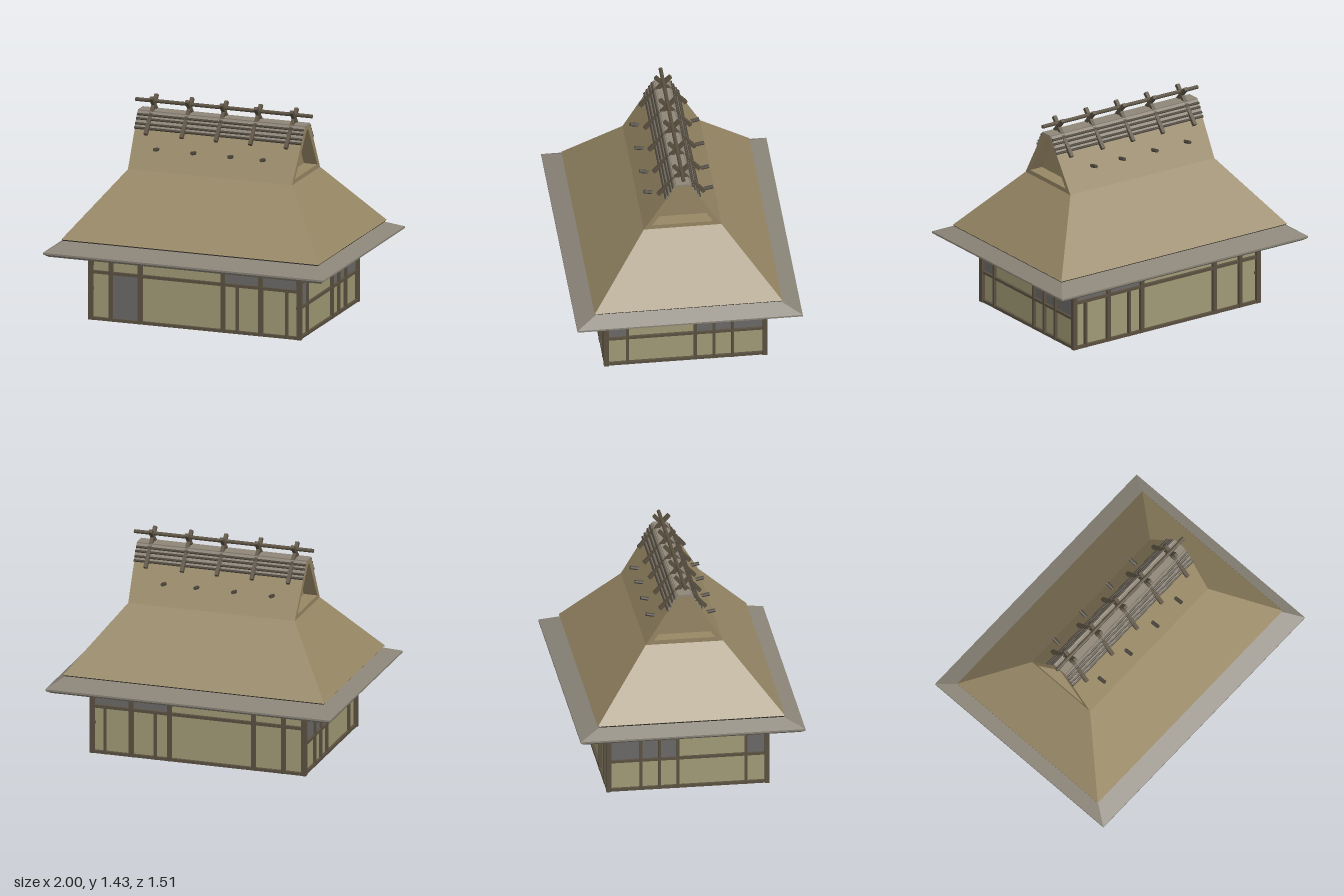
import * as THREE from 'three';

const paint = (color) => new THREE.MeshStandardMaterial({ color, flatShading: true });
const wood = paint(0x5a5040), plaster = paint(0xa09a75), pane = paint(0x6b6967);
const thatch = paint(0x978765), shingle = paint(0x8a8478), board = paint(0x8f8678), dark = paint(0x4c463c);

function add(parent, name, geometry, material, x = 0, y = 0, z = 0) {
  const mesh = new THREE.Mesh(geometry, material);
  mesh.name = name;
  mesh.position.set(x, y, z);
  parent.add(mesh);
  return mesh;
}

const box = (parent, name, material, w, h, d, x, y, z) =>
  add(parent, name, new THREE.BoxGeometry(w, h, d), material, x, y, z);

// Solid built from stacked rectangles [halfX, halfZ, y], capped at both ends
function stackedRectangles(rings) {
  const points = [], index = [];
  for (const [hx, hz, y] of rings) points.push(hx, y, hz, hx, y, -hz, -hx, y, -hz, -hx, y, hz);
  for (let r = 0; r < rings.length - 1; r++) {
    for (let i = 0; i < 4; i++) {
      const a = r * 4 + i, b = r * 4 + (i + 1) % 4;
      index.push(a, b, b + 4, a, b + 4, a + 4);
    }
  }
  const t = (rings.length - 1) * 4;
  index.push(t, t + 1, t + 2, t, t + 2, t + 3, 0, 2, 1, 0, 3, 2);
  const g = new THREE.BufferGeometry();
  g.setAttribute('position', new THREE.Float32BufferAttribute(points, 3));
  g.setIndex(index);
  const flat = g.toNonIndexed();
  flat.computeVertexNormals();
  return flat;
}

// Timber grid on one wall, drawn in its own plane (u across, facing +z)
function wallFrame(name, halfWidth, spec) {
  const wall = new THREE.Group();
  wall.name = name;
  for (const [y, h] of spec.rails) box(wall, 'rail', wood, halfWidth * 2 - 0.02, h, 0.03, 0, y, -0.016);
  for (const [u, w, top] of spec.posts) box(wall, 'post', wood, w, top, 0.03, u, top / 2, -0.014);
  for (const [u0, u1, y0, y1] of spec.panes) {
    box(wall, 'windowPanel', pane, u1 - u0, y1 - y0, 0.012, (u0 + u1) / 2, (y0 + y1) / 2, -0.022);
  }
  for (const u of spec.beams) box(wall, 'beamEnd', wood, 0.025, 0.03, 0.08, u, spec.beamY, 0);
  return wall;
}

function buildWalls() {
  const walls = new THREE.Group();
  walls.name = 'walls';
  box(walls, 'wallCore', plaster, 1.47, 0.45, 1.05, 0, 0.23, 0);
  for (const x of [-1, 1]) {
    for (const z of [-1, 1]) box(walls, 'cornerPost', wood, 0.032, 0.46, 0.032, x * 0.744, 0.23, z * 0.532);
  }

  // Front and back share their post spacing; only the front has the door
  for (const side of [1, -1]) {
    const panes = [[0.2, 0.73, 0.34, 0.42]];
    if (side > 0) panes.push([-0.6, -0.39, 0.02, 0.32]);
    const wall = wallFrame(side > 0 ? 'frontWall' : 'backWall', 0.76, {
      rails: [[0.01, 0.02], [0.33, 0.02], [0.44, 0.04]],
      posts: [[-0.6, 0.028, 0.46], [-0.39, 0.028, 0.46], [0.2, 0.028, 0.46], [0.47, 0.028, 0.46],
        [0.302, 0.015, 0.33], [0.655, 0.015, 0.33]].map(([u, w, h]) => [u * side, w, h]),
      panes: panes.map(([a, b, c, d]) => side > 0 ? [a, b, c, d] : [-b, -a, c, d]),
      beams: [-0.6, -0.39, 0.2, 0.47].map((u) => u * side),
      beamY: 0.435,
    });
    wall.position.z = side * 0.546;
    if (side < 0) wall.rotation.y = Math.PI;
    walls.add(wall);
  }

  // Side walls mirror each other
  for (const side of [1, -1]) {
    const flip = (z) => -z * side;
    const wall = wallFrame(side > 0 ? 'leftWall' : 'rightWall', 0.55, {
      rails: [[0.01, 0.02], [0.215, 0.018], [0.39, 0.028]],
      posts: [0.39, -0.065, -0.19, -0.315].map((z) => [flip(z), 0.018, 0.46]),
      panes: [[0.39, 0.52], [-0.19, -0.065], [-0.315, -0.19], [-0.52, -0.315]].map(([a, b]) =>
        [Math.min(flip(a), flip(b)), Math.max(flip(a), flip(b)), 0.224, 0.376]),
      beams: [0.39, -0.065, -0.19, -0.315].map(flip),
      beamY: 0.39,
    });
    wall.position.x = side * 0.754;
    wall.rotation.y = side * Math.PI / 2;
    walls.add(wall);
  }
  return walls;
}

// Slice of the upper roof along x; the ends lean out slightly with height
function gableSlice(x0, x1, hollow) {
  const shape = new THREE.Shape([[0.26, 0.98], [0.045, 1.33], [-0.045, 1.33], [-0.26, 0.98]]
    .map(([z, y]) => new THREE.Vector2(z, y)));
  if (hollow) {
    shape.holes.push(new THREE.Path([[0.205, 1.01], [0.015, 1.3], [-0.015, 1.3], [-0.205, 1.01]]
      .map(([z, y]) => new THREE.Vector2(z, y))));
  }
  const g = new THREE.ExtrudeGeometry(shape, { depth: x1 - x0, bevelEnabled: false });
  g.translate(0, 0, x0);
  g.rotateY(Math.PI / 2);
  const p = g.attributes.position;
  for (let i = 0; i < p.count; i++) {
    p.setX(i, p.getX(i) * (1 + (p.getY(i) - 0.98) * 0.06));
  }
  g.computeVertexNormals();
  return g;
}

function buildRoof() {
  const roof = new THREE.Group();
  roof.name = 'roof';
  add(roof, 'lowerEave', stackedRectangles([
    [0.97, 0.725, 0.455], [1, 0.755, 0.475], [1, 0.755, 0.487], [0.9, 0.61, 0.548]]), shingle);
  add(roof, 'thatchEdge', stackedRectangles([[0.895, 0.605, 0.53], [0.918, 0.628, 0.556]]), dark);
  add(roof, 'hippedThatch', stackedRectangles([[0.918, 0.63, 0.555], [0.585, 0.26, 0.98]]), thatch);
  add(roof, 'upperThatch', gableSlice(-0.49, 0.49, false), thatch);
  add(roof, 'leftGable', gableSlice(0.49, 0.585, true), thatch);
  add(roof, 'rightGable', gableSlice(-0.585, -0.49, true), thatch);

  // Pegs poking out of both slopes
  for (const side of [1, -1]) {
    for (const x of [-0.405, -0.14, 0.125, 0.355]) {
      const peg = add(roof, 'peg', new THREE.CylinderGeometry(0.013, 0.013, 0.1, 8), dark, x, 1.114, side * 0.183);
      peg.rotation.x = side * (Math.PI / 2 - 0.2);
    }
  }
  return roof;
}

function buildRidge() {
  const ridge = new THREE.Group();
  ridge.name = 'ridge';
  const slope = Math.atan2(0.35, 0.215);
  box(ridge, 'ridgeCap', board, 1.195, 0.014, 0.09, 0, 1.33, 0);
  for (const side of [1, -1]) {
    const slab = box(ridge, 'ridgeBoard', board, 1.19, 0.012, 0.125, 0, 1.276, side * 0.08);
    slab.rotation.x = side * slope;
    // Thin poles binding the boards
    for (const y of [1.23, 1.255, 1.285, 1.31]) {
      const z = 0.045 + (1.33 - y) * 0.614 + 0.006;
      const pole = add(ridge, 'bindingPole', new THREE.CylinderGeometry(0.009, 0.009, 1.19, 8), dark, 0, y, side * z);
      pole.rotation.z = Math.PI / 2;
    }
    // Crossed timbers straddling the ridge
    for (const x of [-0.5, -0.245, 0, 0.245, 0.5]) {
      const timber = box(ridge, 'crossedTimber', wood, 0.025, 0.024, 0.305, x, 1.313, side * 0.052);
      timber.rotation.x = side * Math.atan2(0.225, 0.205);
    }
  }
  const pole = add(ridge, 'ridgePole', new THREE.CylinderGeometry(0.013, 0.013, 1.26, 10), wood, 0, 1.395, 0);
  pole.rotation.z = Math.PI / 2;
  return ridge;
}

export function createModel() {
  const house = new THREE.Group();
  house.name = 'thatchedFarmhouse';
  house.add(buildWalls(), buildRoof(), buildRidge());
  return house;
}
